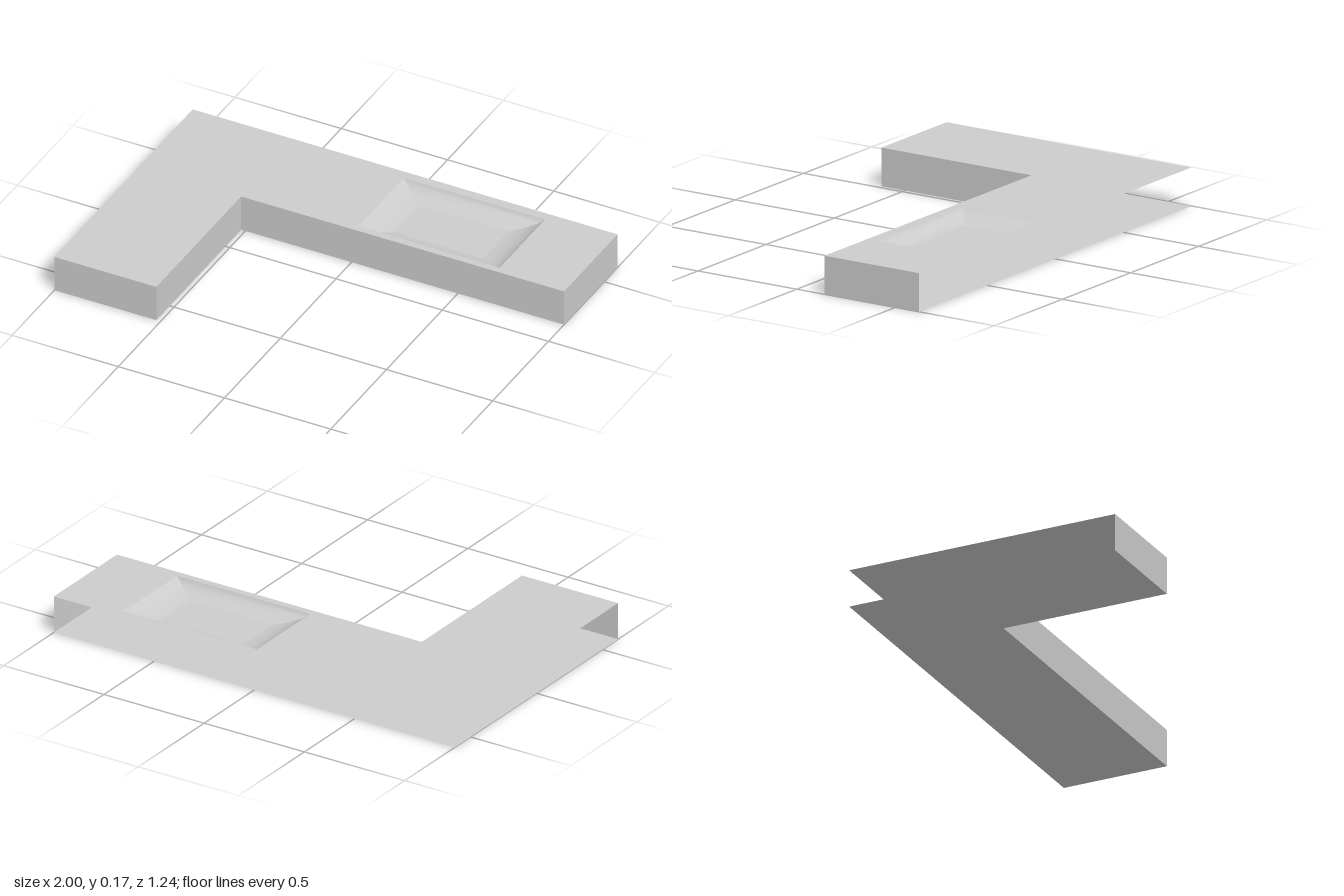
import * as THREE from 'three';

const H = 0.167;
// L-shaped outline as [x, z]
const OUTLINE = [[-1, 0.62], [-0.52, 0.62], [-0.52, -0.14], [1, -0.14], [1, -0.62], [-1, -0.62]];
const SINK = { x0: 0.015, x1: 0.68, z0: -0.577, z1: -0.172 };
// basin profile rings: inset in x, inset in z, depth
const RINGS = [[0, 0, 0], [0.025, 0.01, 0.021], [0.075, 0.048, 0.039], [0.125, 0.09, 0.046]];

const corners = ([ix, iz]) => [
  [SINK.x0 + ix, SINK.z1 - iz], [SINK.x1 - ix, SINK.z1 - iz],
  [SINK.x1 - ix, SINK.z0 + iz], [SINK.x0 + ix, SINK.z0 + iz],
];

// horizontal L-shaped sheet facing up (s = 1) or down (s = -1)
function sheet(s, hole) {
  const pts = (list) => list.map(([x, z]) => new THREE.Vector2(x, -s * z));
  const shape = new THREE.Shape(pts(OUTLINE));
  if (hole) shape.holes.push(new THREE.Path(pts(hole)));
  return new THREE.ShapeGeometry(shape).rotateX(-s * Math.PI / 2);
}

// strip of quads through a list of [start, end] edges, smooth along the strip
function strip(edges) {
  const index = [];
  for (let i = 0; i < edges.length - 1; i++) {
    const a = i * 2;
    index.push(a, a + 2, a + 1, a + 1, a + 2, a + 3);
  }
  const g = new THREE.BufferGeometry();
  g.setAttribute('position', new THREE.Float32BufferAttribute(edges.flat(2), 3));
  g.setIndex(index);
  g.computeVertexNormals();
  return g;
}

export function createModel() {
  const group = new THREE.Group();
  const stone = new THREE.MeshStandardMaterial({ color: 0xcccccc, side: THREE.DoubleSide });
  stone.name = 'counter grey';
  const add = (name, geometry, y = 0) => {
    const mesh = new THREE.Mesh(geometry, stone);
    mesh.name = name;
    mesh.position.y = y;
    group.add(mesh);
  };

  // top with sink opening, and closed underside
  add('counterTop', sheet(1, corners(RINGS[0])), H);
  add('counterUnderside', sheet(-1));

  // front edges only: the back and the x = -1 side stay open against the wall
  for (let i = 0; i < 4; i++) {
    const [ax, az] = OUTLINE[i], [bx, bz] = OUTLINE[i + 1];
    add('edgePanel' + (i + 1), strip([[[ax, H, az], [bx, H, bz]], [[ax, 0, az], [bx, 0, bz]]]));
  }

  // sink basin: four curved sides with sharp corners, and a flat floor
  for (let k = 0; k < 4; k++) {
    const edges = RINGS.map((r) => {
      const c = corners(r);
      return [c[(k + 1) % 4], c[k]].map(([x, z]) => [x, H - r[2], z]);
    });
    // reversed corner order makes the faces look into the basin
    add('basinSide' + (k + 1), strip(edges));
  }
  const last = RINGS[RINGS.length - 1];
  const f = corners(last);
  const floor = new THREE.PlaneGeometry(f[1][0] - f[0][0], f[0][1] - f[2][1]).rotateX(-Math.PI / 2);
  floor.translate((f[0][0] + f[1][0]) / 2, 0, (f[0][1] + f[2][1]) / 2);
  add('basinFloor', floor, H - last[2]);

  return group;
}
